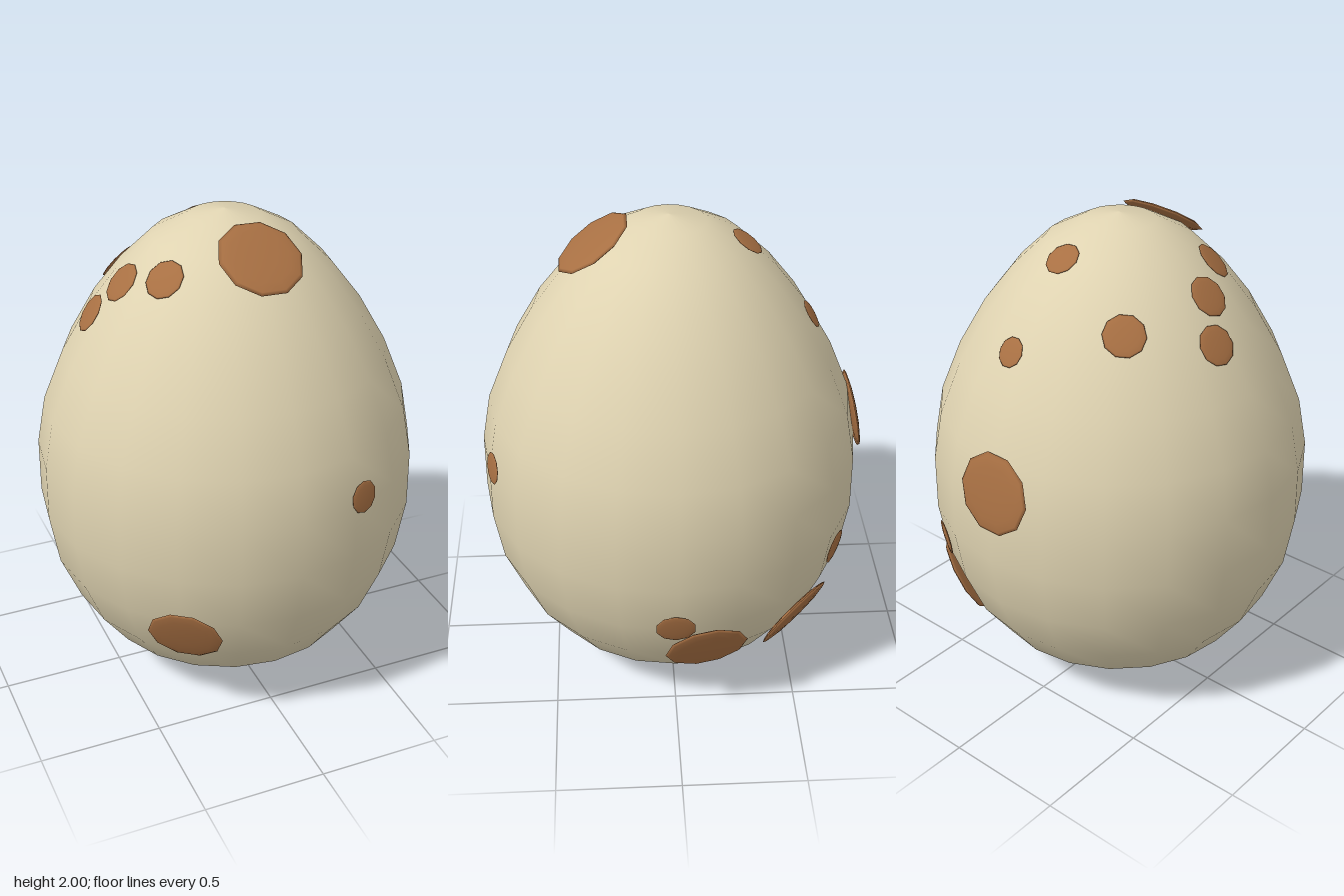
import * as THREE from 'three';

// Egg profile, bottom to top: [radius, height]
const PROFILE = [
  [0, 0], [0.196, 0.03], [0.376, 0.1], [0.536, 0.22], [0.652, 0.38], [0.733, 0.575], [0.769, 0.79],
  [0.767, 1.02], [0.73, 1.22], [0.645, 1.43], [0.536, 1.62], [0.42, 1.77], [0.286, 1.9], [0.143, 1.975], [0, 2],
];

// Shell radius at a given height
function radiusAt(y) {
  let i = 0;
  while (i < PROFILE.length - 2 && PROFILE[i + 1][1] < y) i++;
  const [r0, y0] = PROFILE[i];
  const [r1, y1] = PROFILE[i + 1];
  return THREE.MathUtils.lerp(r0, r1, THREE.MathUtils.clamp((y - y0) / (y1 - y0), 0, 1));
}

// Speckles: [x, z (direction around the shell), height, size]
const SPOTS = [
  [0.02, 0.28, 1.895, 0.168],
  [0.27, 0.705, 1.05, 0.066],
  [-0.405, 0.57, 0.5, 0.15],
  [0.735, 0.012, 0.59, 0.08],
  [0.66, -0.115, 0.42, 0.168],
  [0.44, -0.49, 0.4, 0.18],
  [0.374, -0.65, 0.685, 0.075],
  [-0.02, -0.75, 1.1, 0.165],
  [0.06, -0.555, 1.59, 0.06],
  [0.025, -0.29, 1.89, 0.07],
  [-0.32, -0.35, 1.7, 0.083],
  [-0.53, -0.07, 1.625, 0.08],
  [-0.425, 0.01, 1.765, 0.084],
  [-0.32, 0.185, 1.825, 0.08],
];

export function createModel() {
  const model = new THREE.Group();
  model.name = 'speckledEgg';

  const shellMaterial = new THREE.MeshStandardMaterial({ color: 0xdfd3b1 });
  shellMaterial.name = 'cream shell';
  const spotMaterial = new THREE.MeshStandardMaterial({ color: 0xa87043 });
  spotMaterial.name = 'brown speckle';

  // Smooth lathed shell
  const points = PROFILE.map(([r, y]) => new THREE.Vector2(r, y));
  const shell = new THREE.Mesh(new THREE.LatheGeometry(points, 20), shellMaterial);
  shell.name = 'shell';
  model.add(shell);

  // Flattened ten-sided lenses lying tangent to the shell
  const lens = new THREE.SphereGeometry(1, 10, 8);
  const up = new THREE.Vector3(0, 1, 0);
  SPOTS.forEach(([x, z, y, size], i) => {
    const angle = Math.atan2(x, z);
    const slope = (radiusAt(y + 0.08) - radiusAt(y - 0.08)) /
      (Math.min(y + 0.08, 2) - Math.max(y - 0.08, 0));
    const normal = new THREE.Vector3(Math.sin(angle), -slope, Math.cos(angle)).normalize();
    const r = radiusAt(y);
    const spot = new THREE.Mesh(lens, spotMaterial);
    spot.name = `speckle${i + 1}`;
    spot.position.set(Math.sin(angle) * r, y, Math.cos(angle) * r).addScaledVector(normal, 0.003);
    spot.quaternion.setFromUnitVectors(up, normal);
    spot.scale.set(size, size * 0.1, size);
    model.add(spot);
  });

  return model;
}
